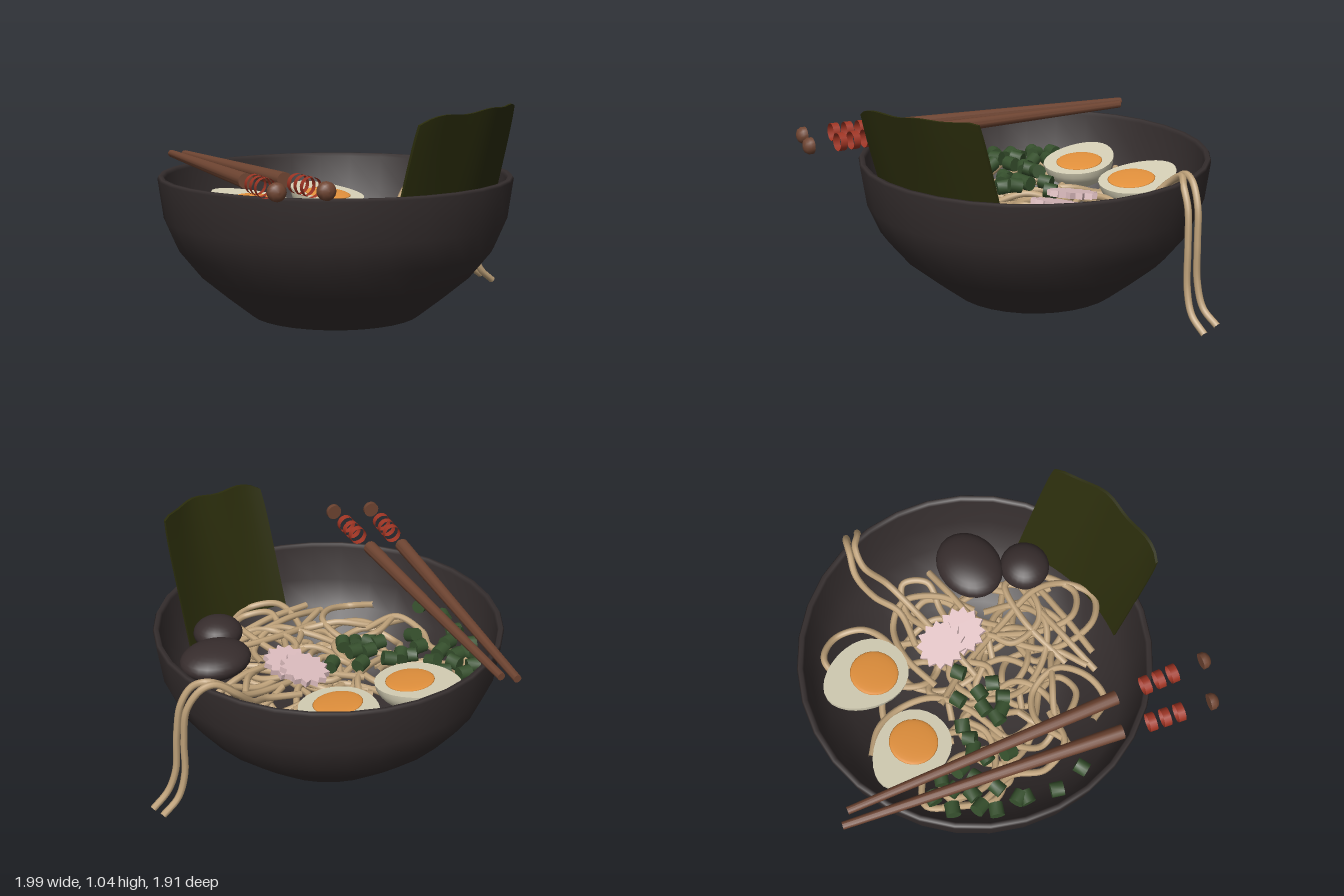
import * as THREE from 'three';
import { toCreasedNormals } from 'three/addons/utils/BufferGeometryUtils.js';

const mat = (name, color, side = THREE.FrontSide) => {
  const m = new THREE.MeshStandardMaterial({ color, side });
  m.name = name;
  return m;
};
const V = (x, y, z) => new THREE.Vector3(x, y, z);

export function createModel() {
  const M = {
    bowl: mat('bowlBlack', 0x352e2e),
    noodle: mat('noodleTan', 0xbfa27a),
    wood: mat('chopstickBrown', 0x6f4532),
    red: mat('ringRed', 0xa03524, THREE.DoubleSide),
    nori: mat('noriGreen', 0x2b2d0c),
    white: mat('eggWhite', 0xd6d0b6),
    yolk: mat('yolkOrange', 0xe3913c),
    onion: mat('scallionGreen', 0x36502d),
    pink: mat('fishCakePink', 0xdcbcbe),
    mushroom: mat('mushroomBrown', 0x372d2d),
  };
  const model = new THREE.Group();
  model.name = 'noodleBowl';
  const group = (name, parent = model) => {
    const g = new THREE.Group();
    g.name = name;
    parent.add(g);
    return g;
  };
  const add = (name, geo, material, pos = [0, 0, 0], parent = model) => {
    const m = new THREE.Mesh(geo, material);
    m.name = name;
    m.position.set(...pos);
    parent.add(m);
    return m;
  };
  let seed = 11;
  const rnd = (a = 0, b = 1) => {
    seed = (seed * 16807) % 2147483647;
    return a + (b - a) * seed / 2147483647;
  };
  // apply a rule to each vertex of a geometry
  const warp = (geo, rule) => {
    const p = geo.attributes.position, v = V(0, 0, 0);
    for (let i = 0; i < p.count; i++) {
      rule(v.fromBufferAttribute(p, i));
      p.setXYZ(i, v.x, v.y, v.z);
    }
    geo.computeVertexNormals();
    return geo;
  };

  // Bowl: closed profile, doubled points keep the base and rim crisp
  const profile = [[0, 0], [0.41, 0], [0.41, 0], [0.53, 0.095], [0.655, 0.2], [0.76, 0.33], [0.82, 0.47],
    [0.847, 0.66], [0.84, 0.672], [0.822, 0.672], [0.815, 0.655], [0.79, 0.48], [0.73, 0.345],
    [0.625, 0.225], [0.5, 0.12], [0.39, 0.045], [0, 0.035]];
  add('bowl', new THREE.LatheGeometry(profile.map(([x, y]) => new THREE.Vector2(x, y)), 32), M.bowl, [-0.067, 0, 0.04]);

  // Noodles
  const noodles = group('noodles');
  const strand = (pts, name = 'noodle') => add(name,
    new THREE.TubeGeometry(new THREE.CatmullRomCurve3(pts), pts.length * 9, 0.017, 7), M.noodle, [0, 0, 0], noodles);
  // laid strands, as x z pairs at a gently waving height
  const laid = [
    [[0.3, -0.5], [0.44, -0.5], [0.51, -0.38], [0.45, -0.25], [0.3, -0.2], [0.15, -0.24]],
    [[-0.1, -0.2], [0.0, 0.05], [0.05, 0.3], [0.08, 0.55], [0.02, 0.7], [-0.12, 0.76], [-0.23, 0.65], [-0.2, 0.42], [0.05, 0.22]],
    [[0.02, 0.25], [-0.1, 0.45], [-0.14, 0.6], [-0.05, 0.7], [0.05, 0.68], [0.15, 0.6]],
    [[-0.42, 0.52], [-0.2, 0.5], [0.05, 0.5], [0.3, 0.53]],
    [[-0.35, 0.56], [-0.1, 0.57], [0.15, 0.56], [0.2, 0.45], [0.0, 0.4], [-0.3, 0.43]],
    [[-0.62, 0.33], [-0.56, 0.46], [-0.42, 0.46], [-0.3, 0.36], [-0.32, 0.2], [-0.45, 0.12], [-0.6, 0.16]],
    [[-0.68, 0.16], [-0.5, 0.2], [-0.35, 0.3], [-0.22, 0.42], [-0.38, 0.5]],
    [[-0.5, -0.5], [-0.6, -0.35], [-0.58, -0.15], [-0.66, 0.0], [-0.62, 0.15], [-0.45, 0.2]],
    [[-0.1, -0.62], [0.0, -0.5], [0.02, -0.35], [-0.05, -0.2], [-0.2, -0.1], [-0.4, -0.05]],
    [[0.1, 0.1], [0.3, 0.12], [0.45, 0.15], [0.52, 0.05], [0.4, -0.02], [0.25, 0.0]],
    [[0.05, 0.3], [0.15, 0.22], [0.35, 0.2], [0.5, 0.2]],
    [[0.0, -0.15], [0.2, -0.18], [0.38, -0.12], [0.45, 0.0], [0.35, 0.15], [0.2, 0.25]],
  ];
  laid.forEach((row, k) => strand(row.map(([x, z], i) => V(x, 0.42 + 0.025 * Math.sin(i * 2.1 + k * 1.7), z))));
  // curled strands filling the heap below
  for (let k = 0; k < 20; k++) {
    const cx = rnd(-0.42, 0.2), cz = rnd(-0.32, 0.35), r = rnd(0.12, 0.24), a = rnd(0, 6.3);
    const dx = rnd(-0.02, 0.02), dz = rnd(-0.025, 0.025), y = 0.3 + 0.006 * k, pts = [];
    for (let i = 0; i < 9; i++) {
      const t = a + i * 0.8, q = r * rnd(0.75, 1.1);
      pts.push(V(cx + dx * i + q * Math.cos(t), y + rnd(-0.03, 0.03), cz + dz * i + q * 1.15 * Math.sin(t)));
    }
    strand(pts);
  }
  // two strands hanging over the rim
  strand([V(0.22, 0.43, -0.1), V(0.4, 0.46, -0.06), V(0.52, 0.52, -0.12), V(0.63, 0.62, -0.145), V(0.72, 0.685, -0.11),
    V(0.78, 0.67, -0.085), V(0.84, 0.57, -0.05), V(0.855, 0.4, -0.035), V(0.86, 0.22, -0.035), V(0.9, 0.1, -0.03),
    V(0.985, 0.035, -0.025)], 'hangingNoodle');
  strand([V(0.2, 0.43, 0.02), V(0.4, 0.46, 0.0), V(0.54, 0.52, -0.03), V(0.64, 0.63, -0.09), V(0.73, 0.685, -0.07),
    V(0.78, 0.66, -0.02), V(0.83, 0.57, 0.01), V(0.85, 0.4, 0.03), V(0.86, 0.2, 0.04), V(0.9, 0.09, 0.055),
    V(0.98, 0.02, 0.065)], 'hangingNoodle');

  // Egg halves: a sphere flattened above and narrowed towards the back
  const egg = (x, z, turn, yx, yz) => {
    const g = group('eggHalf');
    g.position.set(x, 0.51, z);
    g.rotation.set(0.13, turn, -0.03);
    const body = warp(new THREE.SphereGeometry(1, 28, 16), v => {
      v.set(v.x * 0.172 * (1 + 0.17 * v.z), v.y > 0 ? 0 : v.y * 0.14, v.z * 0.22);
    });
    add('eggWhite', toCreasedNormals(body, 0.8), M.white, [0, 0, 0], g);
    add('yolk', new THREE.SphereGeometry(0.118, 24, 12).scale(1, 0.09, 1), M.yolk, [yx, 0, yz], g);
  };
  egg(-0.205, -0.465, 0.3, 0.01, 0.045);
  egg(0.228, -0.405, -0.05, -0.015, 0.045);

  // Fish cake slices with a toothed edge
  const star = new THREE.Shape();
  for (let i = 0; i < 26; i++) {
    const a = i * Math.PI / 13, r = i % 2 ? 0.096 : 0.122;
    star[i ? 'lineTo' : 'moveTo'](r * Math.cos(a), r * Math.sin(a));
  }
  const cake = new THREE.ExtrudeGeometry(star, { depth: 0.03, bevelEnabled: false }).rotateX(-Math.PI / 2);
  add('fishCake', cake, M.pink, [0.128, 0.475, -0.01]).rotation.set(-0.2, 0, 0.08);
  add('fishCake', cake, M.pink, [0.13, 0.455, 0.115]).rotation.set(-0.25, 0.15, 0.05);

  // Mushroom caps
  [[0.38, 0.47, 0.365, 0.185, 0.155], [0.207, 0.465, 0.58, 0.125, 0.122]].forEach(([x, y, z, rx, rz]) =>
    add('mushroom', new THREE.SphereGeometry(1, 24, 16).scale(rx, 0.08, rz), M.mushroom, [x, y, z]));

  // Scallion pieces
  const scallions = group('scallions');
  const bits = [[-0.55, -0.48], [-0.48, -0.42], [-0.62, -0.37], [-0.55, -0.36], [-0.68, -0.32], [-0.7, -0.2],
    [-0.72, -0.17], [-0.78, -0.03], [-0.77, 0.13], [-0.45, -0.52], [-0.4, -0.43], [-0.5, -0.3], [-0.42, -0.33],
    [-0.6, -0.25], [-0.38, -0.22], [-0.33, -0.2], [-0.45, -0.2], [-0.26, -0.19], [-0.33, -0.03], [-0.25, -0.05],
    [-0.18, -0.02], [-0.26, 0.06], [-0.18, 0.06], [-0.14, -0.12], [-0.03, -0.03], [-0.5, -0.1], [-0.31, 0.01]];
  const bitGeo = toCreasedNormals(new THREE.CylinderGeometry(0.036, 0.036, 0.062, 10), 0.8);
  bits.forEach(([x, z]) => {
    const b = add('scallion', bitGeo, M.onion, [x, 0.475 + rnd(-0.015, 0.015), z], scallions);
    b.rotation.set(Math.PI / 2 + rnd(-0.5, 0.5), 0, rnd(0, 6.3));
  });

  // Seaweed sheet: leaning out over the rim and bowed across
  const sheet = warp(new THREE.BoxGeometry(0.67, 0.65, 0.014, 16, 12, 1), v => {
    const t = v.y / 0.65 + 0.5, u = Math.abs(v.x) / 0.335;
    const y = 0.38 + t * (0.65 + 0.05 * v.x + 0.006 * Math.sin(v.x * 22) - 0.022 * u ** 10);
    const z = 0.945 - 0.6 * (v.x + 0.1) ** 2 - 0.3 * (1.02 - y) + 0.008 * Math.sin(v.x * 16) * t;
    v.set(v.x * (1 - 0.03 * t ** 8), y, z + v.z);
  });
  add('seaweedSheet', toCreasedNormals(sheet, 0.8), M.nori);

  // Chopsticks, each with separate rings and a rounded end beyond it
  const chopstick = (thin, thick, ringAt, capAt) => {
    const g = group('chopstick');
    const d = thick.clone().sub(thin), len = d.length();
    g.position.copy(thick);
    g.quaternion.setFromUnitVectors(V(0, 1, 0), d.normalize());
    add('stick', toCreasedNormals(new THREE.CylinderGeometry(0.035, 0.019, len, 14), 0.8), M.wood, [0, -len / 2, 0], g);
    ringAt.forEach(t => add('ring', new THREE.CylinderGeometry(0.044, 0.044, 0.036, 16, 1, true), M.red, [0, t, 0], g));
    const cap = [[0, -0.018], [0.04, -0.018], [0.04, -0.018], [0.04, 0.004], [0.03, 0.019], [0.015, 0.026], [0, 0.028]];
    add('endCap', new THREE.LatheGeometry(cap.map(([x, y]) => new THREE.Vector2(x, y)), 16), M.wood, [0, capAt, 0], g);
  };
  chopstick(V(-0.345, 0.697, -0.955), V(-0.803, 0.73, 0.325), [0.14, 0.21, 0.28], 0.445);
  chopstick(V(-0.303, 0.697, -0.895), V(-0.658, 0.73, 0.41), [0.15, 0.22, 0.29], 0.455);

  return model;
}
